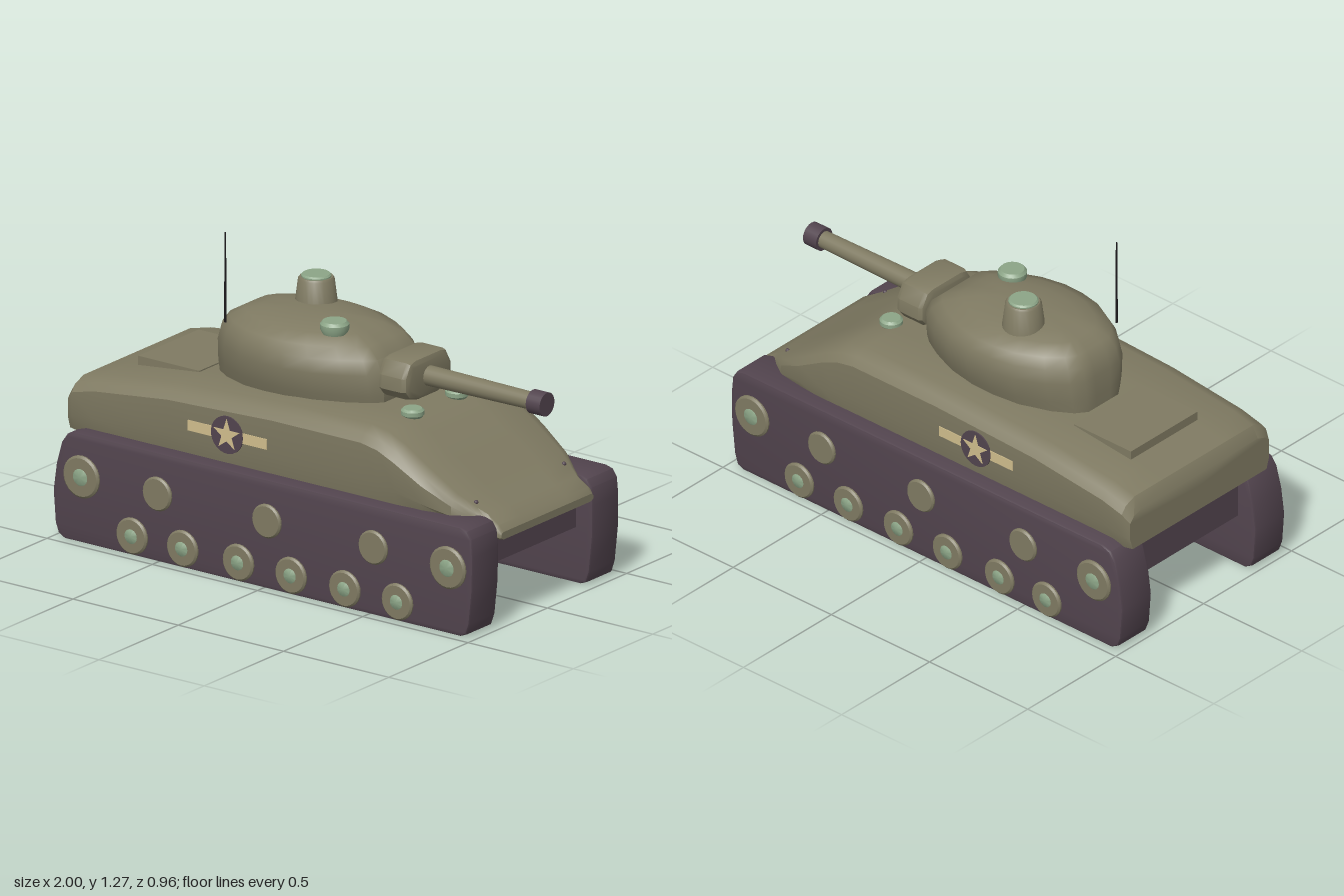
import * as THREE from 'three';
import { toCreasedNormals, mergeVertices } from 'three/addons/utils/BufferGeometryUtils.js';

const mat = (name, color) => Object.assign(new THREE.MeshStandardMaterial({ color }), { name });

export function createModel() {
  const olive = mat('olive paint', 0x7f7a62);
  const dark = mat('dark track', 0x52444e);
  const green = mat('pale green', 0x8ca587);
  const cream = mat('cream marking', 0xd0bd8d);
  const black = mat('antenna black', 0x1c191c);

  const root = new THREE.Group();
  root.name = 'tank';
  const add = (name, geo, material, x = 0, y = 0, z = 0) => {
    const m = new THREE.Mesh(geo, material);
    m.name = name;
    m.position.set(x, y, z);
    root.add(m);
    return m;
  };

  // Skin between closed rings (counter-clockwise seen from the far end), capped at both ends
  const loft = (rings, crease) => {
    const n = rings[0].length, pos = [], idx = [];
    rings.forEach(r => r.forEach(p => pos.push(...p)));
    for (let i = 0; i < rings.length - 1; i++)
      for (let j = 0; j < n; j++) {
        const a = i * n + j, b = i * n + (j + 1) % n;
        idx.push(a, b, b + n, a, b + n, a + n);
      }
    [0, rings.length - 1].forEach((i, end) => {
      const c = pos.length / 3;
      pos.push(...[0, 1, 2].map(k => rings[i].reduce((s, p) => s + p[k], 0) / n));
      for (let j = 0; j < n; j++) {
        const a = i * n + j, b = i * n + (j + 1) % n;
        idx.push(c, end ? a : b, end ? b : a);
      }
    });
    const g = new THREE.BufferGeometry();
    g.setAttribute('position', new THREE.Float32BufferAttribute(pos, 3));
    g.setIndex(idx);
    return toCreasedNormals(g, crease);
  };

  // Extruded outline with a small bevel, centred on its depth
  const slab = (points, depth, bevel) => {
    const shape = new THREE.Shape(points.map(p => new THREE.Vector2(...p)));
    const g = new THREE.ExtrudeGeometry(shape, {
      depth: depth - 2 * bevel, bevelEnabled: bevel > 0, bevelSize: bevel,
      bevelThickness: bevel, bevelOffset: -bevel, bevelSegments: 2,
    });
    g.translate(0, 0, -depth / 2 + bevel);
    g.deleteAttribute('uv');
    g.deleteAttribute('normal');
    return toCreasedNormals(mergeVertices(g), 0.6);
  };

  // Upper hull: x, top, top half width, shoulder height, half width, bottom, bottom half width
  const hullStations = [
    [-0.98, 0.58, 0.33, 0.54, 0.395, 0.42, 0.38],
    [-0.95, 0.625, 0.335, 0.575, 0.41, 0.42, 0.39],
    [-0.85, 0.65, 0.335, 0.60, 0.41, 0.42, 0.39],
    [-0.5, 0.688, 0.335, 0.64, 0.41, 0.42, 0.39],
    [0, 0.71, 0.335, 0.66, 0.41, 0.42, 0.39],
    [0.42, 0.714, 0.335, 0.66, 0.41, 0.42, 0.39],
    [0.5, 0.70, 0.335, 0.645, 0.41, 0.42, 0.39],
    [0.58, 0.665, 0.335, 0.61, 0.41, 0.42, 0.39],
    [0.7, 0.588, 0.33, 0.54, 0.40, 0.42, 0.38],
    [0.82, 0.51, 0.32, 0.475, 0.37, 0.41, 0.35],
    [0.89, 0.465, 0.295, 0.435, 0.325, 0.37, 0.285],
    [0.93, 0.442, 0.28, 0.41, 0.30, 0.355, 0.275],
    [0.98, 0.41, 0.28, 0.385, 0.30, 0.35, 0.275],
    [1.0, 0.385, 0.275, 0.375, 0.29, 0.355, 0.275],
  ];
  const hullRings = hullStations.map(([x, top, wt, sh, w, bot, wb]) => {
    const half = [[top, wt * 0.5], [top, wt], [sh + (top - sh) * 0.6, wt + (w - wt) * 0.68],
      [sh, w], [bot + (sh - bot) * 0.4, w], [bot, wb]];
    return [...half.map(([y, z]) => [x, y, z]), ...half.reverse().map(([y, z]) => [x, y, -z])];
  });
  add('upperHull', loft(hullRings, 0.6), olive);
  add('lowerHull', new THREE.BoxGeometry(1.85, 0.18, 0.56), dark, 0, 0.325, 0);
  add('engineDeck', new THREE.BoxGeometry(0.29, 0.06, 0.38), olive, -0.655, 0.662, 0);

  // Turret: egg-shaped plan with blunt ends, stacked by height
  const plan = [[0, 0.15], [0, 0.34], [0.04, 0.52], [0.13, 0.72], [0.28, 0.92], [0.42, 0.99], [0.55, 1],
    [0.7, 0.92], [0.85, 0.74], [0.95, 0.57], [1, 0.42], [1, 0.15]];
  const turretLayers = [ // height, rear x, front x, half width
    [0.68, -0.49, 0.30, 0.245], [0.74, -0.49, 0.31, 0.268], [0.825, -0.485, 0.305, 0.287],
    [0.88, -0.47, 0.28, 0.278], [0.922, -0.44, 0.235, 0.255], [0.952, -0.385, 0.16, 0.195],
    [0.967, -0.32, 0.10, 0.13], [0.975, -0.2, 0.03, 0.06],
  ];
  const turretRings = turretLayers.map(([y, x0, x1, w]) => {
    const half = plan.map(([u, v]) => [x0 + (x1 - x0) * u, w * v]);
    return [...half.map(([x, z]) => [x, y, z]), ...half.reverse().map(([x, z]) => [x, y, -z])];
  });
  add('turret', loft(turretRings, 0.7), olive);

  // Gun with mantlet and muzzle
  const mantlet = slab([[-0.147, -0.035], [-0.12, -0.068], [-0.06, -0.085], [0.06, -0.085], [0.12, -0.068],
    [0.147, -0.035], [0.147, 0.02], [0.115, 0.075], [0.08, 0.085], [-0.08, 0.085], [-0.115, 0.075],
    [-0.147, 0.02]], 0.14, 0.022);
  add('mantlet', mantlet, olive, 0.37, 0.82, 0).rotation.y = Math.PI / 2;
  const alongX = (r0, r1, len) => new THREE.CylinderGeometry(r1, r0, len, 24).rotateZ(-Math.PI / 2);
  add('gunBarrel', alongX(0.04, 0.034, 0.54), olive, 0.69, 0.82, 0);
  add('muzzle', alongX(0.047, 0.047, 0.066), dark, 0.965, 0.82, 0);

  // Turned fittings on turret and hull
  const turned = (points) => toCreasedNormals(
    new THREE.LatheGeometry(points.map(p => new THREE.Vector2(...p)), 24), 0.6);
  add('cupola', turned([[0.084, 0], [0.07, 0.11], [0.064, 0.118], [0, 0.118]]), olive, -0.175, 0.945, -0.103);
  add('cupolaHatch', turned([[0.058, 0], [0.058, 0.01], [0.052, 0.016], [0, 0.016]]), green, -0.175, 1.058, -0.103);
  add('turretHatch', turned([[0.048, 0], [0.056, 0.02], [0.056, 0.038], [0.046, 0.05], [0, 0.05]]),
    green, 0.078, 0.948, 0.117);
  for (const s of [1, -1]) {
    add('hullHatch', turned([[0.036, 0], [0.045, 0.012], [0.045, 0.028], [0.036, 0.037], [0, 0.037]]),
      green, 0.465, 0.698, s * 0.14);
    add('noseBolt', new THREE.SphereGeometry(0.009, 10, 8), dark, 0.87, 0.478, s * 0.277);
  }
  add('antenna', new THREE.CylinderGeometry(0.003, 0.005, 0.36, 8), black, -0.385, 1.095, 0.192);

  // Tracks, wheels and side markings, mirrored
  const trackGeo = slab([[-0.945, 0.003], [0.93, 0.003], [0.96, 0.015], [0.975, 0.06], [0.99, 0.2], [0.992, 0.33],
    [0.985, 0.4], [0.965, 0.43], [0.93, 0.44], [-0.89, 0.44], [-0.935, 0.425], [-0.96, 0.39],
    [-0.985, 0.3], [-1, 0.19], [-0.99, 0.06], [-0.975, 0.02]], 0.17, 0.01);
  const wheels = [ // x, y, radius, has hub
    ...[-0.62, -0.38, -0.115, 0.135, 0.39, 0.64].map(x => [x, 0.083, 0.073, true]),
    ...[-0.5, 0.02, 0.525].map(x => [x, 0.277, 0.068, false]),
    ...[-0.86, 0.88].map(x => [x, 0.27, 0.085, true]),
  ];
  const star = Array.from({ length: 10 }, (_, i) => {
    const r = i % 2 ? 0.025 : 0.064, a = Math.PI / 2 + i * Math.PI / 5;
    return [r * Math.cos(a), r * Math.sin(a)];
  });
  for (const s of [1, -1]) {
    add('track', trackGeo, dark, 0, 0, s * 0.379);
    for (const [x, y, r, hub] of wheels) {
      const disc = turned([[r, 0], [r, 0.008], [r * 0.9, 0.015], [0, 0.015]]);
      add('wheel', disc, olive, x, y, s * 0.462).rotation.x = s * Math.PI / 2;
      if (hub) {
        const cap = turned([[r * 0.42, 0], [r * 0.34, 0.004], [0, 0.006]]);
        add('wheelHub', cap, green, x, y, s * 0.476).rotation.x = s * Math.PI / 2;
      }
    }
    add('markingBar', new THREE.BoxGeometry(0.375, 0.042, 0.008), cream, -0.21, 0.56, s * 0.409);
    add('markingDisc', new THREE.CylinderGeometry(0.075, 0.075, 0.009, 32).rotateX(Math.PI / 2),
      dark, -0.21, 0.56, s * 0.411);
    add('markingStar', slab(star, 0.008, 0), cream, -0.21, 0.56, s * 0.414);
  }
  return root;
}
